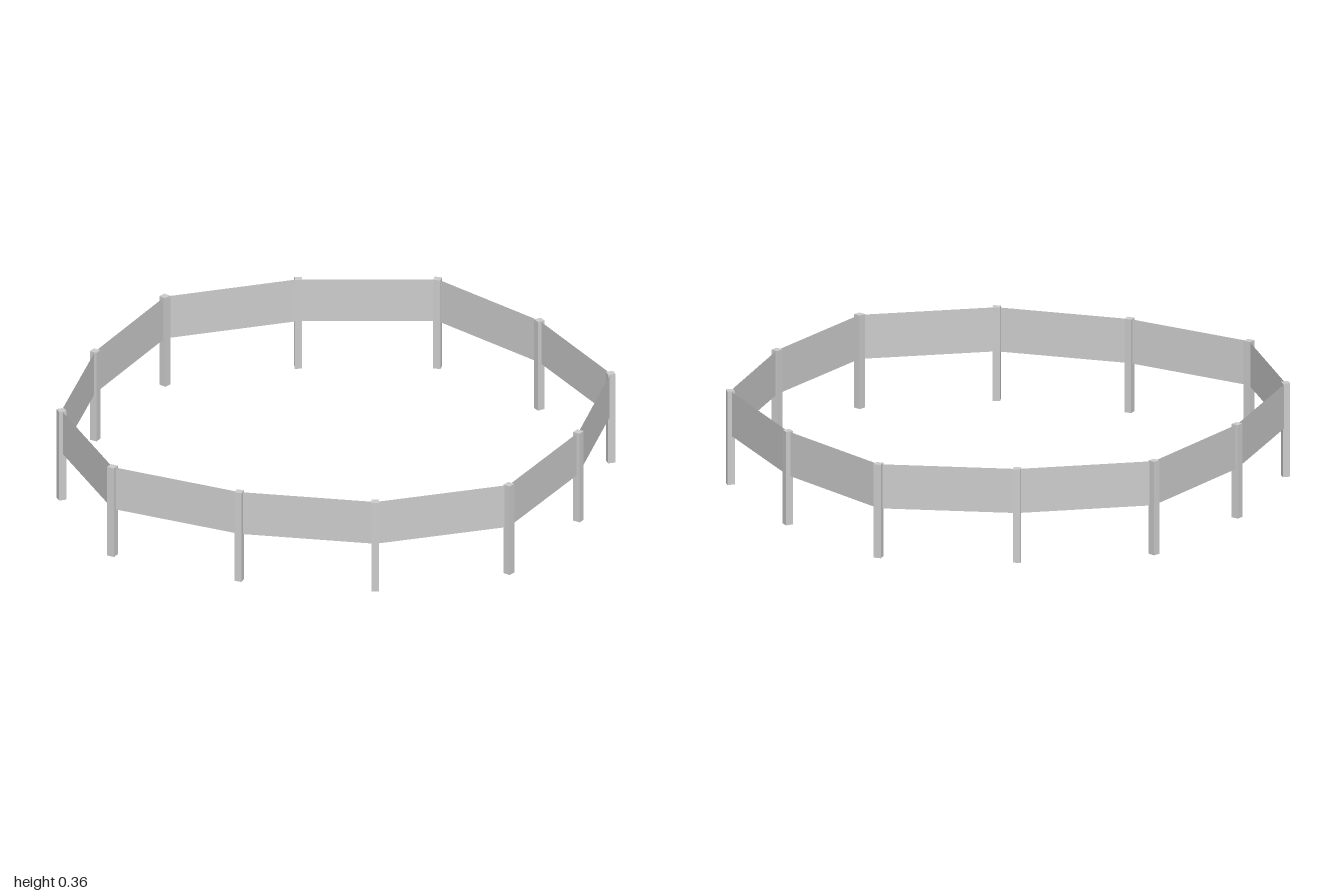
import * as THREE from 'three';

// Post positions around the ring: x, z and turn in degrees (x towards z)
const POSTS = [
  [-0.143, -0.984, -15], [0.353, -0.862, 28], [0.80, -0.60, 43],
  [0.94, -0.11, 3], [0.936, 0.403, 8], [0.58, 0.768, -30],
  [0.104, 0.939, -10], [-0.404, 0.982, 2], [-0.80, 0.659, 40],
  [-0.938, 0.161, 1], [-0.942, -0.367, 12], [-0.588, -0.734, -32],
];
const POST_HEIGHT = 0.36, POST_WIDTH = 0.028;
const PANEL_BOTTOM = 0.187, PANEL_TOP = 0.357;

export function createModel() {
  const model = new THREE.Group();
  model.name = 'ringFence';
  const postMaterial = new THREE.MeshStandardMaterial({ color: 0xcccccc });
  const panelMaterial = new THREE.MeshStandardMaterial({ color: 0xcccccc, side: THREE.DoubleSide });
  const postGeometry = new THREE.BoxGeometry(POST_WIDTH, POST_HEIGHT, POST_WIDTH);

  POSTS.forEach(([x, z, turn], i) => {
    // Square upright post
    const post = new THREE.Mesh(postGeometry, postMaterial);
    post.name = `post${i + 1}`;
    post.position.set(x, POST_HEIGHT / 2, z);
    post.rotation.y = -THREE.MathUtils.degToRad(turn);
    model.add(post);

    // Thin panel spanning to the next post, facing outward
    const [nx, nz] = POSTS[(i + 1) % POSTS.length];
    const dx = nx - x, dz = nz - z;
    const panel = new THREE.Mesh(
      new THREE.PlaneGeometry(Math.hypot(dx, dz), PANEL_TOP - PANEL_BOTTOM), panelMaterial);
    panel.name = `panel${i + 1}`;
    panel.position.set((x + nx) / 2, (PANEL_TOP + PANEL_BOTTOM) / 2, (z + nz) / 2);
    panel.rotation.y = Math.atan2(dz, -dx);
    model.add(panel);
  });
  return model;
}
